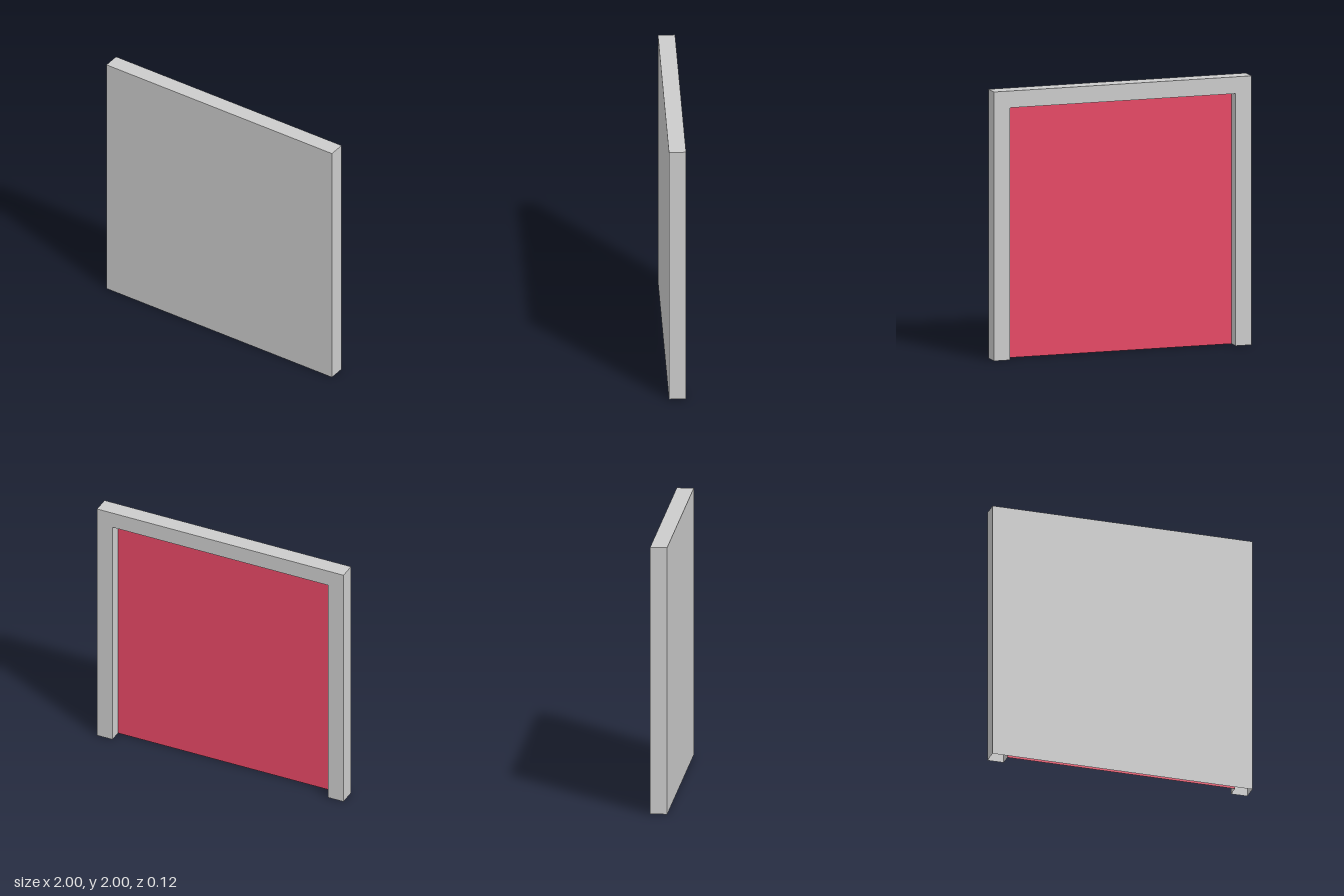
import * as THREE from 'three';

const HALF = 1, HEIGHT = 2, DEPTH = 0.125, BORDER = 0.125;
const FRONT = DEPTH / 2, BACK = -DEPTH / 2, PANEL_Z = 0.031;

const grey = new THREE.MeshStandardMaterial({ color: 0xcccccc, side: THREE.DoubleSide, flatShading: true });
const red = new THREE.MeshStandardMaterial({ color: 0xe64865, side: THREE.DoubleSide, flatShading: true });

export function createModel() {
  const group = new THREE.Group();
  const add = (name, geometry, material = grey) => {
    const mesh = new THREE.Mesh(geometry, material);
    mesh.name = name;
    group.add(mesh);
    return mesh;
  };

  // Upright rectangle standing on the ground; turned to face the back on request
  const sheet = (name, halfWidth, height, z, material, facesBack) => {
    const mesh = add(name, new THREE.PlaneGeometry(halfWidth * 2, height), material);
    mesh.position.set(0, height / 2, z);
    if (facesBack) mesh.rotation.y = Math.PI;
  };

  // Three walls around an arch: two sides and a top, open at the bottom
  const archWalls = (name, halfWidth, height, z0, z1, outward) => {
    const depth = z1 - z0, z = (z0 + z1) / 2;
    for (const side of [-1, 1]) {
      const wall = add(name + (side > 0 ? 'Left' : 'Right'), new THREE.PlaneGeometry(depth, height));
      wall.position.set(side * halfWidth, height / 2, z);
      wall.rotation.y = side * outward * Math.PI / 2;
    }
    const top = add(name + 'Top', new THREE.PlaneGeometry(halfWidth * 2, depth));
    top.position.set(0, height, z);
    top.rotation.x = -outward * Math.PI / 2;
  };

  const innerHalf = HALF - BORDER, innerHeight = HEIGHT - BORDER;

  // Plain front face and outer edges
  sheet('frontFace', HALF, HEIGHT, FRONT, grey, false);
  archWalls('outerEdge', HALF, HEIGHT, BACK, FRONT, 1);

  // Back rim: an upside-down U
  const rim = new THREE.Shape([
    [-HALF, 0], [-innerHalf, 0], [-innerHalf, innerHeight], [innerHalf, innerHeight],
    [innerHalf, 0], [HALF, 0], [HALF, HEIGHT], [-HALF, HEIGHT],
  ].map(([x, y]) => new THREE.Vector2(x, y)));
  const backRim = add('backRim', new THREE.ShapeGeometry(rim));
  backRim.rotation.y = Math.PI;
  backRim.position.z = BACK;

  // Recess walls and the coloured panel inside
  archWalls('recessWall', innerHalf, innerHeight, BACK, PANEL_Z, -1);
  sheet('recessedPanel', innerHalf, innerHeight, PANEL_Z, red, true);

  return group;
}
